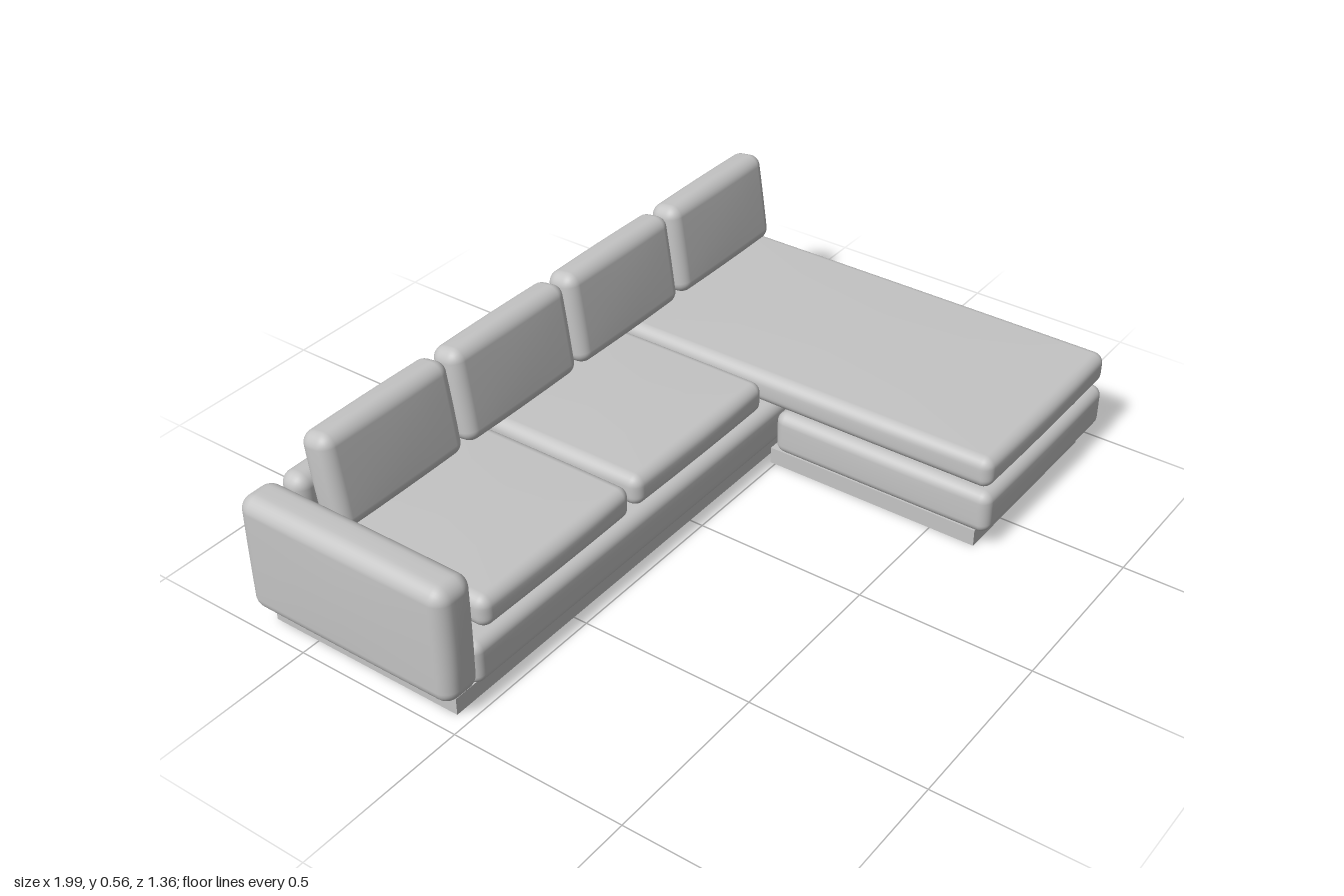
import * as THREE from 'three';
import { mergeVertices } from 'three/addons/utils/BufferGeometryUtils.js';

// Upholstered block: a box with rounded edges and slightly puffed faces
function softBox(size, r, puff) {
  const n = 12, rim = 4;
  const h = size.map((s) => s / 2 - puff);
  const box = new THREE.BoxGeometry(2, 2, 2, n, n, n);
  box.deleteAttribute('uv');
  box.deleteAttribute('normal');
  const g = mergeVertices(box, 1e-4);
  const pos = g.attributes.position;
  // Spread grid lines so most of them lie on the rounded rim
  const spread = (t, half) => {
    const k = Math.round(((Math.abs(t) + 1) / 2) * n);
    const flat = half - r;
    const v = k <= n - rim
      ? (flat * (k - n / 2)) / (n / 2 - rim)
      : flat + r * Math.tan((Math.PI / 4) * (k - n + rim) / rim);
    return Math.sign(t) * v;
  };
  for (let i = 0; i < pos.count; i++) {
    const p = [pos.getX(i), pos.getY(i), pos.getZ(i)].map((t, a) => spread(t, h[a]));
    const inner = p.map((v, a) => THREE.MathUtils.clamp(v, r - h[a], h[a] - r));
    const d = new THREE.Vector3(...p.map((v, a) => v - inner[a])).setLength(r).toArray();
    const q = inner.map((v, a) => v + d[a]);
    const u = q.map((v, a) => v / h[a]);
    const out = q.map((v, a) => {
      const b = (a + 1) % 3, c = (a + 2) % 3;
      return v + puff * u[a] * (1 - u[b] ** 2) * (1 - u[c] ** 2);
    });
    pos.setXYZ(i, ...out);
  }
  g.computeVertexNormals();
  return g;
}

export function createModel() {
  const sofa = new THREE.Group();
  sofa.name = 'cornerSofa';
  const fabric = new THREE.MeshStandardMaterial({ color: 0xc4c4c4 });
  fabric.name = 'light grey fabric';

  // Places a block between its low and high limits on each axis
  function block(name, x, y, z, r = 0, puff = 0) {
    const lims = [x, y, z];
    const size = lims.map(([a, b]) => b - a);
    const geo = r ? softBox(size, r, puff) : new THREE.BoxGeometry(...size);
    const mesh = new THREE.Mesh(geo, fabric);
    mesh.position.set(...lims.map(([a, b]) => (a + b) / 2));
    mesh.name = name;
    sofa.add(mesh);
    return mesh;
  }

  // Recessed plinths
  block('mainPlinth', [-0.945, 0.94], [0, 0.05], [-0.645, -0.04]);
  block('chaisePlinth', [0.35, 0.94], [0, 0.05], [-0.015, 0.635]);

  // Padded bases
  block('mainBase', [-0.9, 0.993], [0.055, 0.19], [-0.677, -0.007], 0.03, 0.003);
  block('chaiseBase', [0.325, 0.993], [0.055, 0.19], [0.003, 0.68], 0.03, 0.003);

  // Right arm and low back
  block('arm', [-1, -0.87], [0.055, 0.407], [-0.68, -0.01], 0.04, 0.004);
  block('backrest', [-0.86, 0.993], [0.19, 0.4], [-0.677, -0.59], 0.036, 0.002);

  // Seat cushions and long chaise cushion
  for (const x of [-0.857, -0.266])
    block('seatCushion', [x, x + 0.578], [0.197, 0.299], [-0.58, -0.01], 0.03, 0.005);
  block('chaiseCushion', [0.323, 0.993], [0.197, 0.3], [-0.578, 0.677], 0.03, 0.005);

  // Leaning back cushions
  for (let i = 0; i < 4; i++) {
    const x = -0.857 + i * 0.4655;
    const cushion = block('backCushion', [x, x + 0.454], [0.281, 0.559], [-0.572, -0.468], 0.034, 0.004);
    cushion.rotation.x = -0.15;
  }
  return sofa;
}
